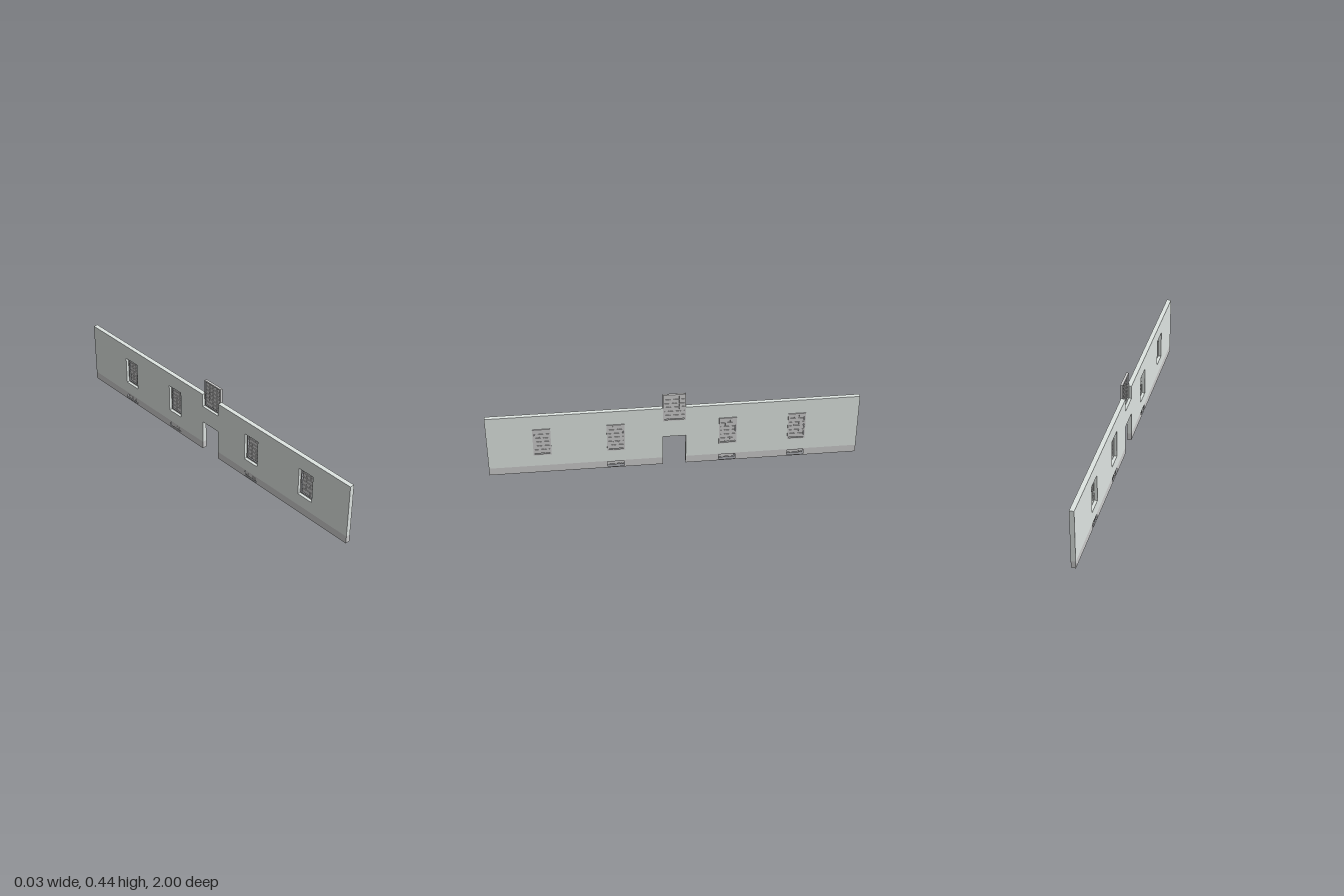
import * as THREE from 'three';

const grey = new THREE.MeshStandardMaterial({ color: 0xcccccc });
const plaster = new THREE.MeshStandardMaterial({ color: 0xdfe5e2 });

const BACK = -0.016, FACE = 0.009;      // wall thickness along x
const BASE = 0.043, TOP = 0.357;        // plinth top and wall top
const DOOR = [-0.06, 0.063];            // z range of doorway and of the notch above
const SILL = 0.113, HEAD = 0.275;       // ordinary window heights
const WINDOW_Z = [0.709, 0.316, -0.287, -0.662];
const VENT_Z = [0.32, -0.286, -0.663];

// polygon from [z, y] corners; shapes are drawn with u = -z
const poly = (Type, pts) => new Type(pts.map(([z, y]) => new THREE.Vector2(-z, y)));
const rect = (Type, z0, z1, y0, y1) => poly(Type, [[z0, y0], [z1, y0], [z1, y1], [z0, y1]]);

// slab standing in the z-y plane, filling x0..x1
function slab(name, shape, x0, x1, material) {
  const geo = new THREE.ExtrudeGeometry(shape, { depth: x1 - x0, bevelEnabled: false });
  geo.rotateY(Math.PI / 2).translate(x0, 0, 0);
  const mesh = new THREE.Mesh(geo, material);
  mesh.name = name;
  return mesh;
}

function bar(name, x0, x1, y0, y1, z0, z1) {
  const mesh = new THREE.Mesh(new THREE.BoxGeometry(x1 - x0, y1 - y0, z1 - z0), grey);
  mesh.position.set((x0 + x1) / 2, (y0 + y1) / 2, (z0 + z1) / 2);
  mesh.name = name;
  return mesh;
}

// sash window: casing, glass, meeting rail and glazing bars
function sashWindow(name, z0, z1, y0, y1, x0, x1, cols, rows) {
  const g = new THREE.Group();
  g.name = name;
  const f = 0.008, t = 0.0014;
  const outer = rect(THREE.Shape, z0, z1, y0, y1);
  outer.holes.push(rect(THREE.Path, z0 + f, z1 - f, y0 + f, y1 - f));
  g.add(slab('casing', outer, x0, x1, grey));
  const mid = (x0 + x1) / 2, a = z0 + f, b = z1 - f, c = y0 + f, d = y1 - f;
  g.add(bar('glass', mid - 0.001, mid + 0.001, c, d, a, b));
  for (let i = 1; i < cols; i++) {
    const z = a + (b - a) * i / cols;
    g.add(bar('glazingBar', mid - 0.0035, mid + 0.0035, c, d, z - t, z + t));
  }
  for (let j = 1; j < rows; j++) {
    const y = c + (d - c) * j / rows, h = j * 2 === rows ? 0.003 : t;
    g.add(bar(h > t ? 'meetingRail' : 'glazingBar', mid - 0.004, mid + 0.004, y - h, y + h, a, b));
  }
  return g;
}

// plinth grille set towards the back of its opening
function vent(z0, z1, y0, y1) {
  const g = new THREE.Group();
  g.name = 'vent';
  const f = 0.004, x0 = BACK + 0.001, x1 = BACK + 0.009, mid = (x0 + x1) / 2;
  const frame = rect(THREE.Shape, z0, z1, y0, y1);
  frame.holes.push(rect(THREE.Path, z0 + f, z1 - f, y0 + f, y1 - f));
  g.add(slab('ventFrame', frame, x0, x1, grey));
  g.add(bar('ventPanel', mid - 0.001, mid + 0.001, y0 + f, y1 - f, z0 + f, z1 - f));
  for (let i = 1; i < 5; i++) {
    const z = z0 + f + (z1 - z0 - 2 * f) * i / 5;
    g.add(bar('ventBar', mid - 0.003, mid + 0.003, y0 + f, y1 - f, z - 0.0015, z + 0.0015));
  }
  return g;
}

export function createModel() {
  const model = new THREE.Group();
  model.name = 'wallSection';
  const [d0, d1] = DOOR, lintel = 0.178, notch = 0.279;

  // upper wall with doorway below and notch above
  const wall = poly(THREE.Shape, [
    [1, BASE], [d1, BASE], [d1, lintel], [d0, lintel], [d0, BASE], [-1, BASE],
    [-1, TOP], [d0, TOP], [d0, notch], [d1, notch], [d1, TOP], [1, TOP],
  ]);
  const half = 0.048;
  for (const z of WINDOW_Z) {
    wall.holes.push(rect(THREE.Path, z - half, z + half, SILL, HEAD));
    model.add(sashWindow('window', z - half, z + half, SILL, HEAD, 0, 0.014, 3, 6));
  }
  model.add(slab('wall', wall, BACK, FACE, plaster));

  // taller window standing in the notch
  model.add(sashWindow('upperWindow', d0, d1, notch, 0.441, -0.001, 0.0125, 4, 6));

  // plinth on each side of the doorway, pierced by vents
  const vh = 0.045, v0 = 0.006, v1 = 0.038;
  for (const [a, b] of [[d1, 1], [-1, d0]]) {
    const plinth = rect(THREE.Shape, a, b, 0, BASE);
    for (const z of VENT_Z.filter((v) => v > a && v < b)) {
      plinth.holes.push(rect(THREE.Path, z - vh, z + vh, v0, v1));
      model.add(vent(z - vh, z + vh, v0, v1));
    }
    model.add(slab('plinth', plinth, BACK, FACE, grey));
  }
  return model;
}
